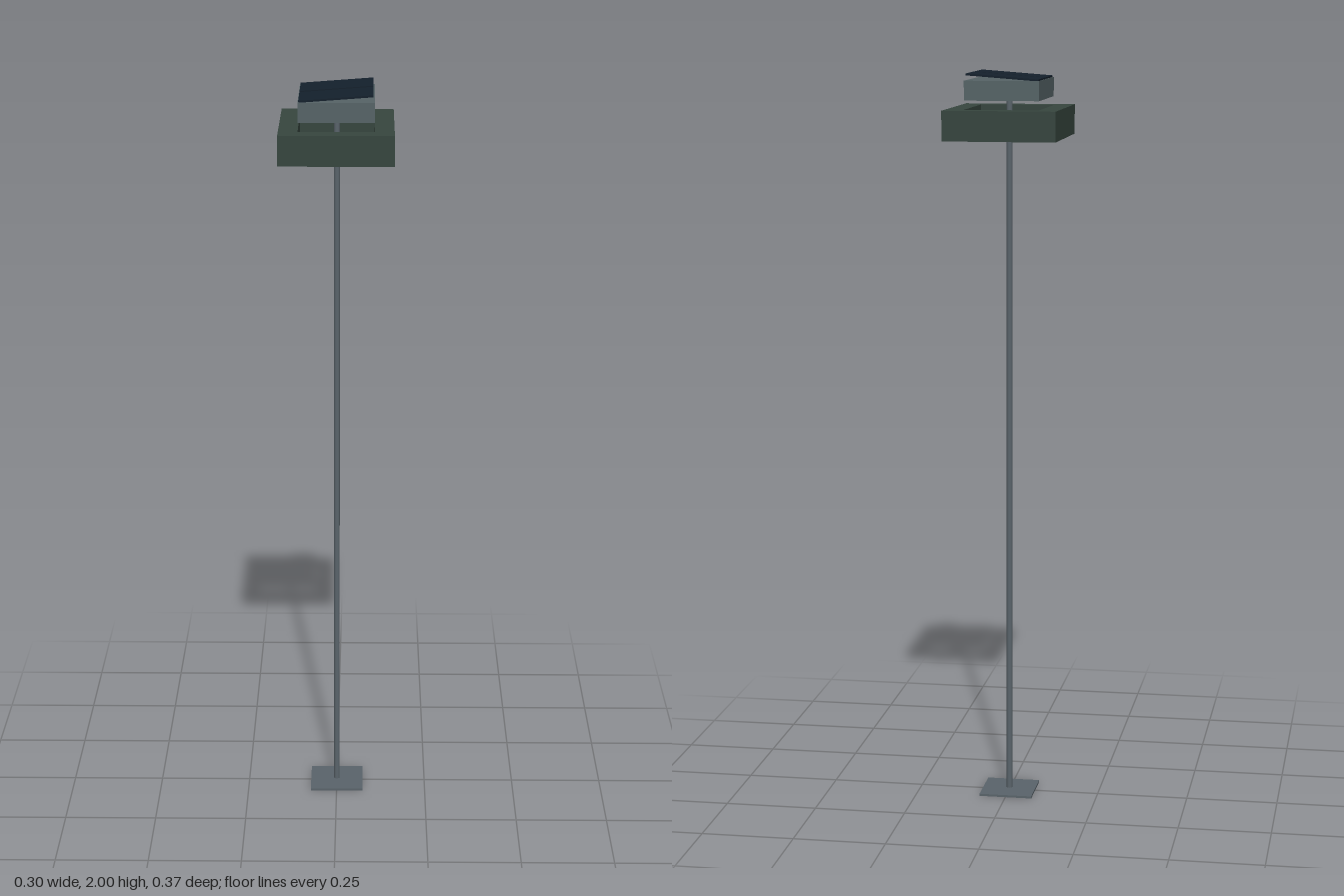
import * as THREE from 'three';

const mat = (color) => new THREE.MeshStandardMaterial({ color });

export function createModel() {
  const model = new THREE.Group();
  const steel = mat(0x5a646b), green = mat(0x37463f), grey = mat(0x566467), navy = mat(0x14202c);

  const add = (name, geometry, material, x, y, z) => {
    const mesh = new THREE.Mesh(geometry, material);
    mesh.name = name;
    mesh.position.set(x, y, z);
    model.add(mesh);
    return mesh;
  };

  // Square foot plate and slender pole
  add('basePlate', new THREE.BoxGeometry(0.146, 0.006, 0.146), steel, 0, 0.003, 0);
  add('pole', new THREE.CylinderGeometry(0.008, 0.008, 1.982, 16), steel, 0, 0.994, 0);

  // Rectangular collar with an open centre
  const rect = (path, w, d) => path.moveTo(-w, -d).lineTo(w, -d).lineTo(w, d).lineTo(-w, d).closePath();
  const outline = rect(new THREE.Shape(), 0.151, 0.183);
  outline.holes.push(rect(new THREE.Path(), 0.1, 0.132));
  const collar = new THREE.ExtrudeGeometry(outline, { depth: 0.08, bevelEnabled: false });
  collar.rotateX(-Math.PI / 2);
  add('collar', collar, green, 0, 1.825, 0);

  // Equipment box above the collar
  add('equipmentBox', new THREE.BoxGeometry(0.2, 0.052, 0.266), grey, 0, 1.955, 0);

  // Pair of tilted solar panels, higher towards +x
  for (const side of [-1, 1]) {
    const panel = add('solarPanel', new THREE.BoxGeometry(0.194, 0.005, 0.122), navy, -0.001, 1.99, side * 0.068 - 0.001);
    panel.rotation.z = 0.075;
  }
  return model;
}
